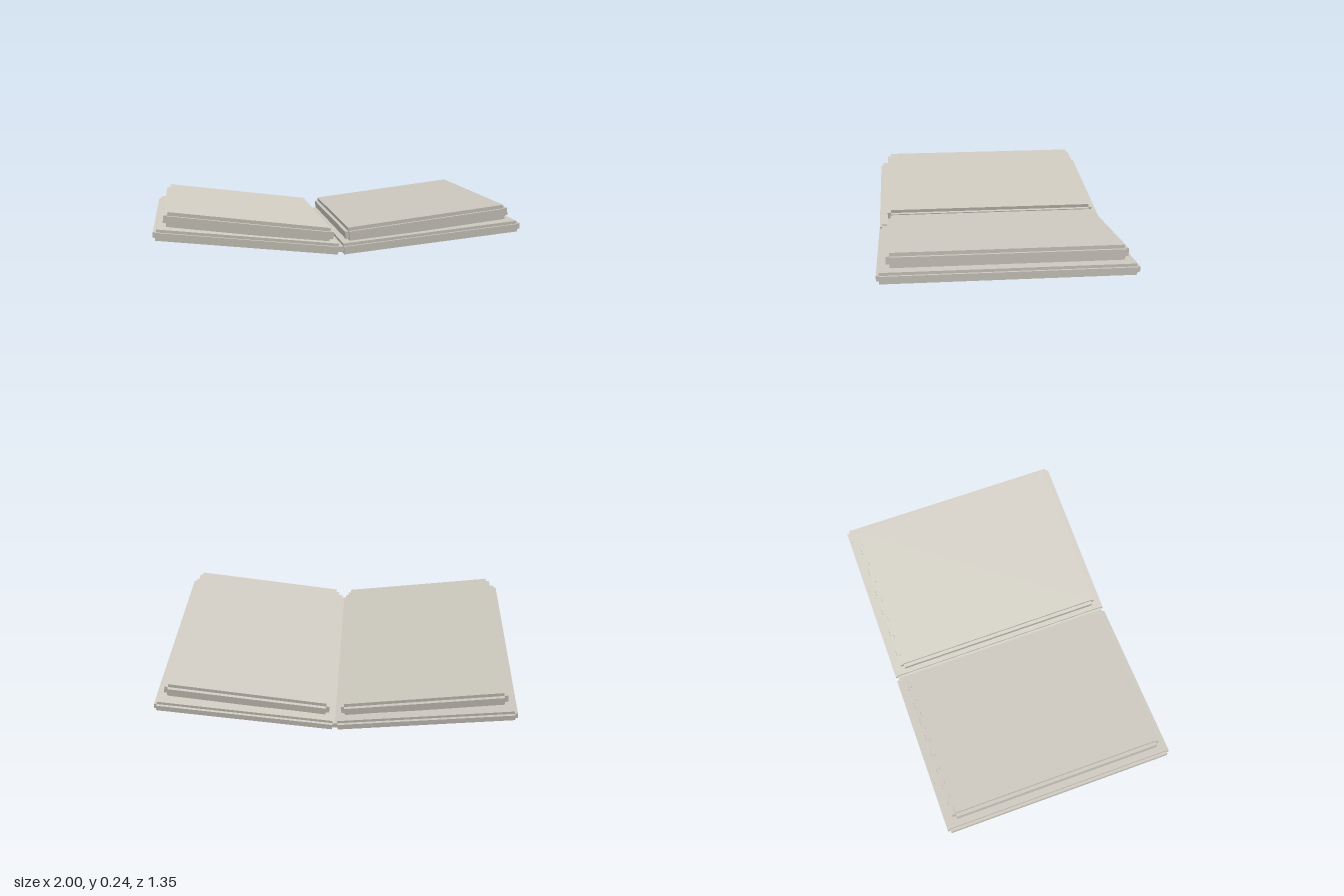
import * as THREE from 'three';

const paper = new THREE.MeshStandardMaterial({ color: 0xd0ccc2 });
paper.name = 'warm grey paper';

// Slab with square-notched edges: three crossed boxes, each full size along one axis.
function notchedSlab(name, length, thickness, depth, notch) {
  const slab = new THREE.Group();
  slab.name = name;
  const full = [length, thickness, depth];
  ['Core across', 'Core upright', 'Core deep'].forEach((label, axis) => {
    const size = full.map((s, i) => (i === axis ? s : s - 2 * notch));
    const mesh = new THREE.Mesh(new THREE.BoxGeometry(...size), paper);
    mesh.name = name + label.replace(' ', '');
    slab.add(mesh);
  });
  return slab;
}

export function createModel() {
  const book = new THREE.Group();
  book.name = 'openBook';

  for (const [side, dir] of [['left', 1], ['right', -1]]) {
    const half = new THREE.Group();
    half.name = side + 'Half';

    // Cover board rising gently from the fold
    const cover = notchedSlab(side + 'Cover', 1.004, 0.06, 1.35, 0.0155);
    cover.position.set(dir * 0.4985, 0.081, 0);
    cover.rotation.z = dir * THREE.MathUtils.degToRad(6);

    // Page block resting on the cover, opened slightly more steeply
    const pages = notchedSlab(side + 'Pages', 0.918, 0.08, 1.25, 0.0195);
    pages.position.set(dir * 0.488, 0.151, 0);
    pages.rotation.z = dir * THREE.MathUtils.degToRad(7);

    half.add(cover, pages);
    book.add(half);
  }
  return book;
}
